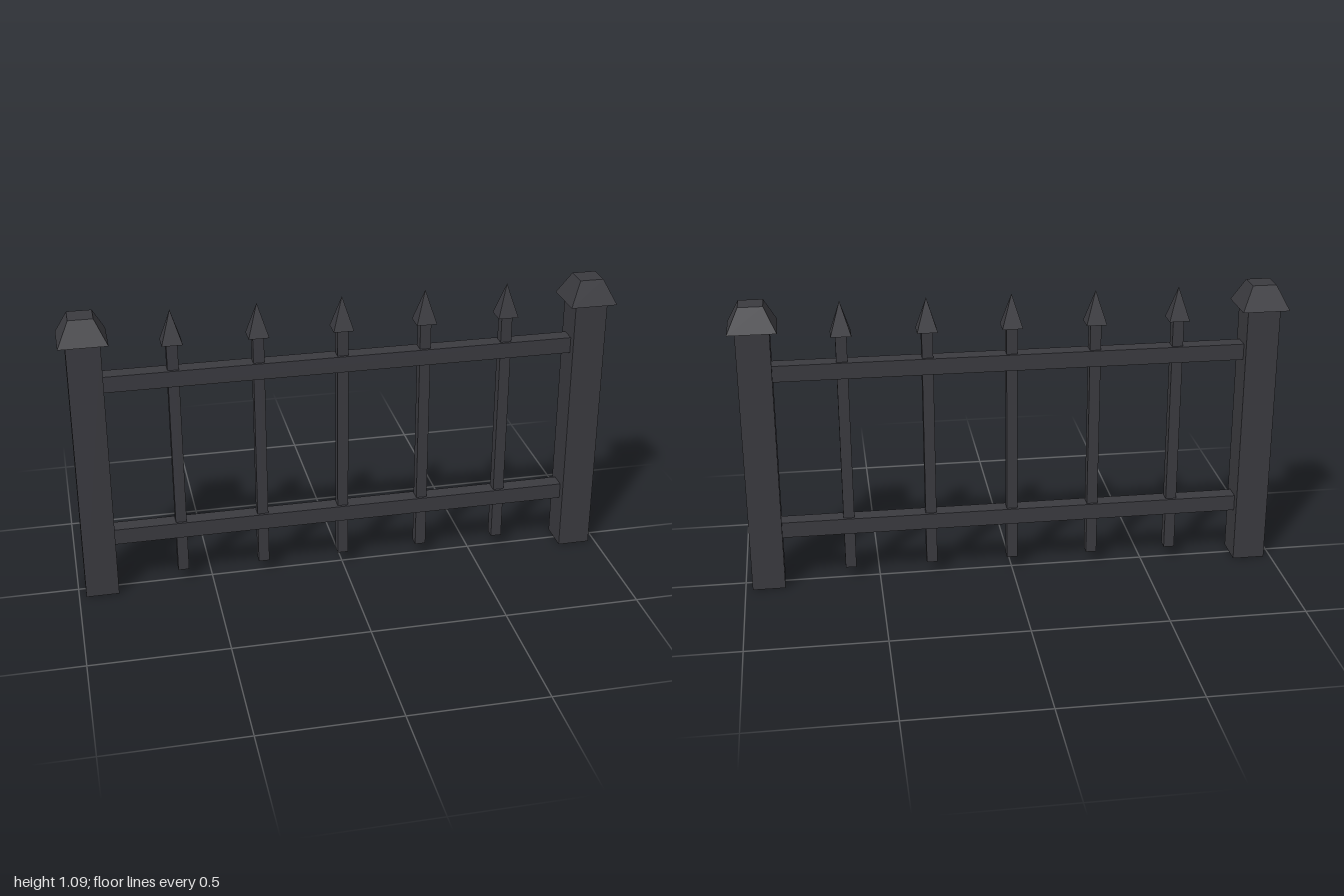
import * as THREE from 'three';

export function createModel() {
  const fence = new THREE.Group();
  fence.name = 'fence';
  const iron = new THREE.MeshStandardMaterial({ color: 0x3a3a3f });
  iron.name = 'dark iron';
  iron.flatShading = true;

  const add = (name, geometry, x, y) => {
    const mesh = new THREE.Mesh(geometry, iron);
    mesh.name = name;
    mesh.position.set(x, y, 0);
    fence.add(mesh);
  };

  // Square frustum or pyramid, sized by its side lengths, standing on y = 0
  const taper = (top, bottom, height) =>
    new THREE.CylinderGeometry(top / Math.SQRT2, bottom / Math.SQRT2, height, 4, 1)
      .rotateY(Math.PI / 4)
      .translate(0, height / 2, 0);

  // End posts with flared caps
  const post = new THREE.BoxGeometry(0.12, 1, 0.12);
  const cap = taper(0.087, 0.173, 0.087);
  for (const [side, s] of [['left', 1], ['right', -1]]) {
    add(side + 'Post', post, s * 0.914, 0.5);
    add(side + 'PostCap', cap, s * 0.914, 1);
  }

  // Horizontal rails between the posts
  const rail = new THREE.BoxGeometry(1.71, 0.06, 0.06);
  add('upperRail', rail, 0, 0.832);
  add('lowerRail', rail, 0, 0.222);

  // Five pickets with pyramid spear tips
  const picket = new THREE.BoxGeometry(0.04, 0.914, 0.04);
  const tip = taper(0, 0.074, 0.121);
  for (let i = -2; i <= 2; i++) {
    add('picket' + (i + 3), picket, i * 0.304, 0.505);
    add('spearTip' + (i + 3), tip, i * 0.304, 0.961);
  }

  return fence;
}
